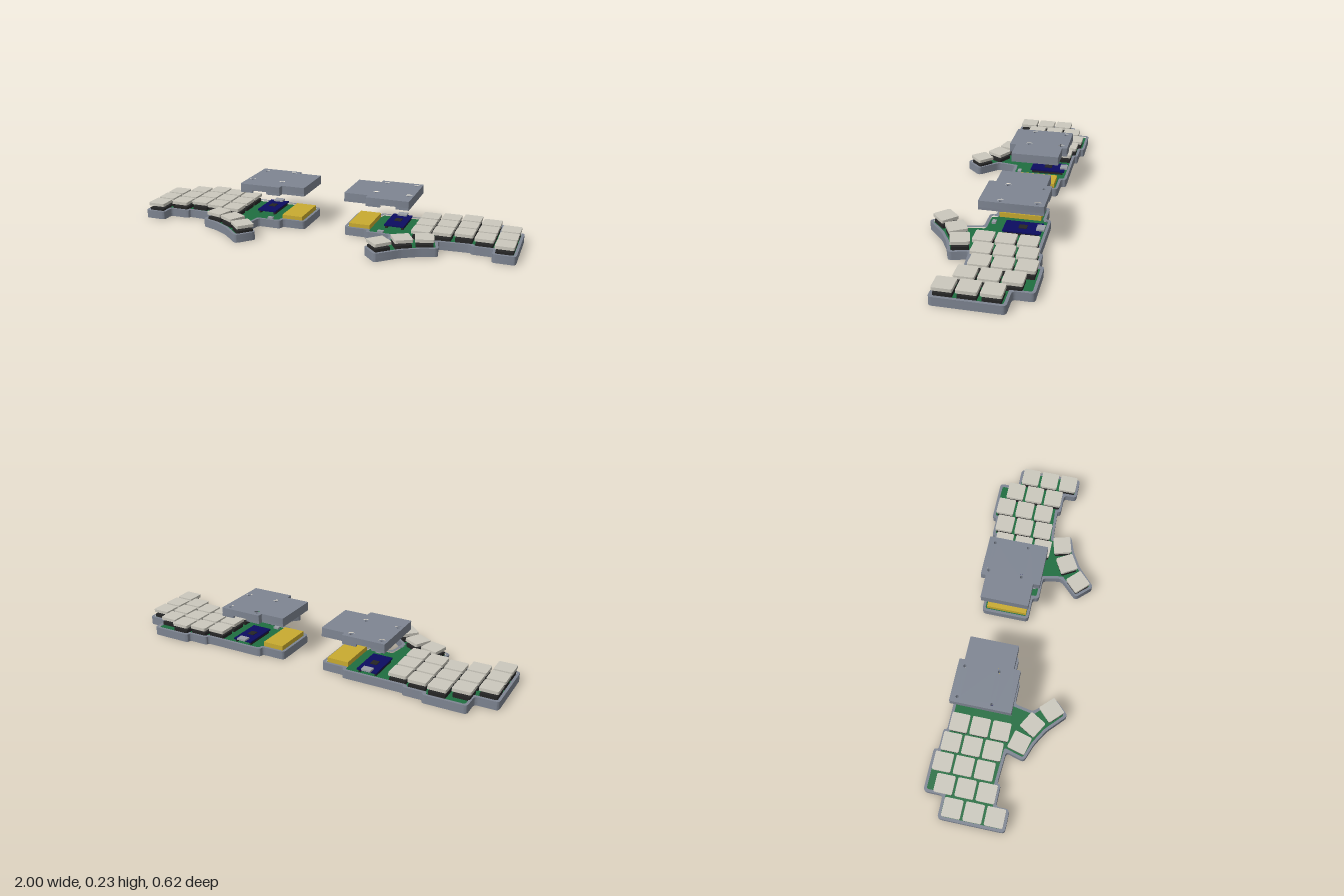
import * as THREE from 'three';
import { toCreasedNormals } from 'three/addons/utils/BufferGeometryUtils.js';

const mat = (name, color) => Object.assign(new THREE.MeshStandardMaterial({ color }), { name });
const caseGrey = mat('case grey', 0x7e8592);
const capIvory = mat('keycap ivory', 0xcbc8bd);
const switchBlack = mat('switch black', 0x252525);
const boardGreen = mat('board green', 0x1f6e40);
const navy = mat('controller navy', 0x0c0c60);
const gold = mat('battery gold', 0xc9ab30);
const steel = mat('connector steel', 0x9a9ea6);

// Plan outlines as [x, z] points of the half on the +x side
const caseOutline = [
  [0.11, -0.24], [0.235, -0.24], [0.235, -0.267], [0.56, -0.267], [0.56, -0.285], [0.667, -0.285],
  [0.667, -0.309], [0.885, -0.309], [0.885, -0.21], [1, -0.21], [1, 0.127], [0.885, 0.127],
  [0.885, 0.058], [0.775, 0.058], [0.775, 0.04], [0.61, 0.05], [0.637, 0.145], [0.545, 0.178],
  [0.465, 0.225], [0.365, 0.318], [0.287, 0.235], [0.378, 0.14], [0.36, 0.042], [0.235, 0.042],
  [0.235, 0.01], [0.11, 0.01]];
const lidOutline = [[0.11, -0.24], [0.235, -0.24], [0.235, -0.267], [0.458, -0.267],
  [0.458, 0.045], [0.235, 0.045], [0.235, 0.01], [0.11, 0.01]];
const boltSpots = [[0.267, -0.232], [0.428, -0.232], [0.262, -0.057], [0.433, -0.057]];
const footSpots = [...boltSpots, [0.675, -0.19], [0.83, -0.05], [0.94, 0.02], [0.57, -0.05], [0.45, 0.15]];

// Move every edge of an outline inwards by d
function inset(pts, d) {
  const n = pts.length;
  const normal = (a, b) => {
    const l = Math.hypot(b[0] - a[0], b[1] - a[1]);
    return [-(b[1] - a[1]) / l, (b[0] - a[0]) / l];
  };
  return pts.map((p, i) => {
    const u = normal(pts[(i + n - 1) % n], p), v = normal(p, pts[(i + 1) % n]);
    const k = d / (1 + u[0] * v[0] + u[1] * v[1]);
    return [p[0] + (u[0] + v[0]) * k, p[1] + (u[1] + v[1]) * k];
  });
}

// Trace an outline with rounded corners
function trace(path, pts, r) {
  const v = pts.map(([x, z]) => new THREE.Vector2(x, -z));
  v.forEach((p, i) => {
    const a = v[(i + v.length - 1) % v.length], b = v[(i + 1) % v.length];
    const near = q => p.clone().lerp(q, Math.min(0.45, r / p.distanceTo(q)));
    const s = near(a), e = near(b);
    if (i) path.lineTo(s.x, s.y); else path.moveTo(s.x, s.y);
    path.quadraticCurveTo(p.x, p.y, e.x, e.y);
  });
  path.closePath();
  return path;
}

// Upright slab between two heights, with optional holes
function slab(pts, r, y0, y1, holes = []) {
  const shape = trace(new THREE.Shape(), pts, r);
  shape.holes.push(...holes);
  const geo = new THREE.ExtrudeGeometry(shape, { depth: y1 - y0, bevelEnabled: false, curveSegments: 5 });
  geo.rotateX(-Math.PI / 2).translate(0, y0, 0);
  return toCreasedNormals(geo, 0.6);
}

const roundHole = r => ([x, z]) => new THREE.Path().absarc(x, -z, r, 0, Math.PI * 2, true);
const square = s => [[-s, -s], [s, -s], [s, s], [-s, s]];

function add(parent, name, geo, material, x = 0, y = 0, z = 0) {
  const mesh = new THREE.Mesh(geo, material);
  mesh.name = name;
  mesh.position.set(x, y, z);
  parent.add(mesh);
  return mesh;
}
function box(parent, name, material, x0, x1, y0, y1, z0, z1) {
  return add(parent, name, new THREE.BoxGeometry(x1 - x0, y1 - y0, z1 - z0), material,
    (x0 + x1) / 2, (y0 + y1) / 2, (z0 + z1) / 2);
}

function buildHalf() {
  const half = new THREE.Group();

  // Tray: floor with screw holes, and a rim around the board
  add(half, 'caseFloor', slab(caseOutline, 0.02, 0, 0.018, footSpots.map(roundHole(0.012))), caseGrey);
  const inner = inset(caseOutline, 0.014);
  add(half, 'caseRim', slab(caseOutline, 0.02, 0.018, 0.043, [trace(new THREE.Path(), inner, 0.012)]), caseGrey);
  add(half, 'circuitBoard', slab(inset(caseOutline, 0.013), 0.012, 0.028, 0.036), boardGreen);

  // Keys: five staggered columns of three and a fan of thumb keys
  const keys = [];
  [[0.52, -0.103], [0.625, -0.12], [0.73, -0.137], [0.835, -0.103], [0.941, -0.038]].forEach(([x, z]) => {
    for (let row = -1; row <= 1; row++) keys.push([x, z + row * 0.106, 0]);
  });
  keys.push([0.558, 0.108, 15], [0.455, 0.153, 30], [0.362, 0.232, 45]);
  const capGeo = slab(square(0.0465), 0.008, 0.067, 0.083);
  const switchGeo = slab(square(0.042), 0.004, 0.036, 0.054);
  for (const [x, z, turn] of keys) {
    add(half, 'keySwitch', switchGeo, switchBlack, x, 0, z).rotation.y = turn * Math.PI / 180;
    add(half, 'keycap', capGeo, capIvory, x, 0, z).rotation.y = turn * Math.PI / 180;
  }

  // Electronics
  box(half, 'battery', gold, 0.131, 0.243, 0.037, 0.062, -0.217, -0.006);
  box(half, 'controllerBoard', navy, 0.305, 0.41, 0.05, 0.058, -0.243, -0.058);
  for (const x of [0.31, 0.395]) box(half, 'controllerHeader', switchBlack, x, x + 0.01, 0.036, 0.05, -0.235, -0.065);
  box(half, 'usbConnector', steel, 0.333, 0.383, 0.058, 0.067, -0.256, -0.217);
  box(half, 'controllerChip', switchBlack, 0.34, 0.375, 0.058, 0.061, -0.17, -0.13);
  box(half, 'powerSwitch', steel, 0.29, 0.32, 0.036, 0.046, -0.005, 0.015);

  // Raised lid: top plate, hollow walls with port notches, hollow screw posts
  add(half, 'lidTop', slab(lidOutline, 0.004, 0.219, 0.228, boltSpots.map(roundHole(0.0165))), caseGrey);
  const lidInner = inset(lidOutline, 0.014);
  add(half, 'lidWall', slab(lidOutline, 0.004, 0.195, 0.219, [trace(new THREE.Path(), lidInner, 0.004)]), caseGrey);
  lidOutline.forEach((a, i) => {
    const j = (i + 1) % lidOutline.length;
    const xs = [a[0], lidOutline[j][0], lidInner[i][0], lidInner[j][0]];
    const zs = [a[1], lidOutline[j][1], lidInner[i][1], lidInner[j][1]];
    const x0 = Math.min(...xs), x1 = Math.max(...xs), z0 = Math.min(...zs), z1 = Math.max(...zs);
    const spans = x0 < 0.3 && x1 > 0.4 ? [[x0, 0.31], [0.39, x1]] : [[x0, x1]];
    for (const [p, q] of spans) box(half, 'lidLowerWall', caseGrey, p, q, 0.182, 0.195, z0, z1);
  });
  const profile = [[0.008, 0.177], [0.0175, 0.177], [0.0175, 0.224], [0.008, 0.224], [0.008, 0.177]];
  const postGeo = toCreasedNormals(new THREE.LatheGeometry(profile.map(p => new THREE.Vector2(...p)), 20), 0.6);
  for (const [x, z] of boltSpots) add(half, 'lidPost', postGeo, caseGrey, x, 0, z);
  return half;
}

// Mirrored copy with baked geometry and corrected corner order
function mirrored(source) {
  const out = new THREE.Group();
  source.updateMatrixWorld(true);
  const flip = new THREE.Matrix4().makeScale(-1, 1, 1);
  source.traverse(m => {
    if (!m.isMesh) return;
    const geo = m.geometry.index ? m.geometry.toNonIndexed() : m.geometry.clone();
    geo.applyMatrix4(flip.clone().multiply(m.matrixWorld));
    for (const { array, itemSize: n } of Object.values(geo.attributes)) {
      for (let i = 0; i < array.length; i += n * 3) {
        const b = array.slice(i + n, i + 2 * n);
        array.copyWithin(i + n, i + 2 * n, i + 3 * n);
        array.set(b, i + 2 * n);
      }
    }
    add(out, m.name, geo, m.material);
  });
  return out;
}

export function createModel() {
  const model = new THREE.Group();
  model.name = 'splitKeyboard';
  const left = buildHalf();
  left.name = 'leftHalf';
  const right = mirrored(left);
  right.name = 'rightHalf';
  model.add(left, right);
  return model;
}
